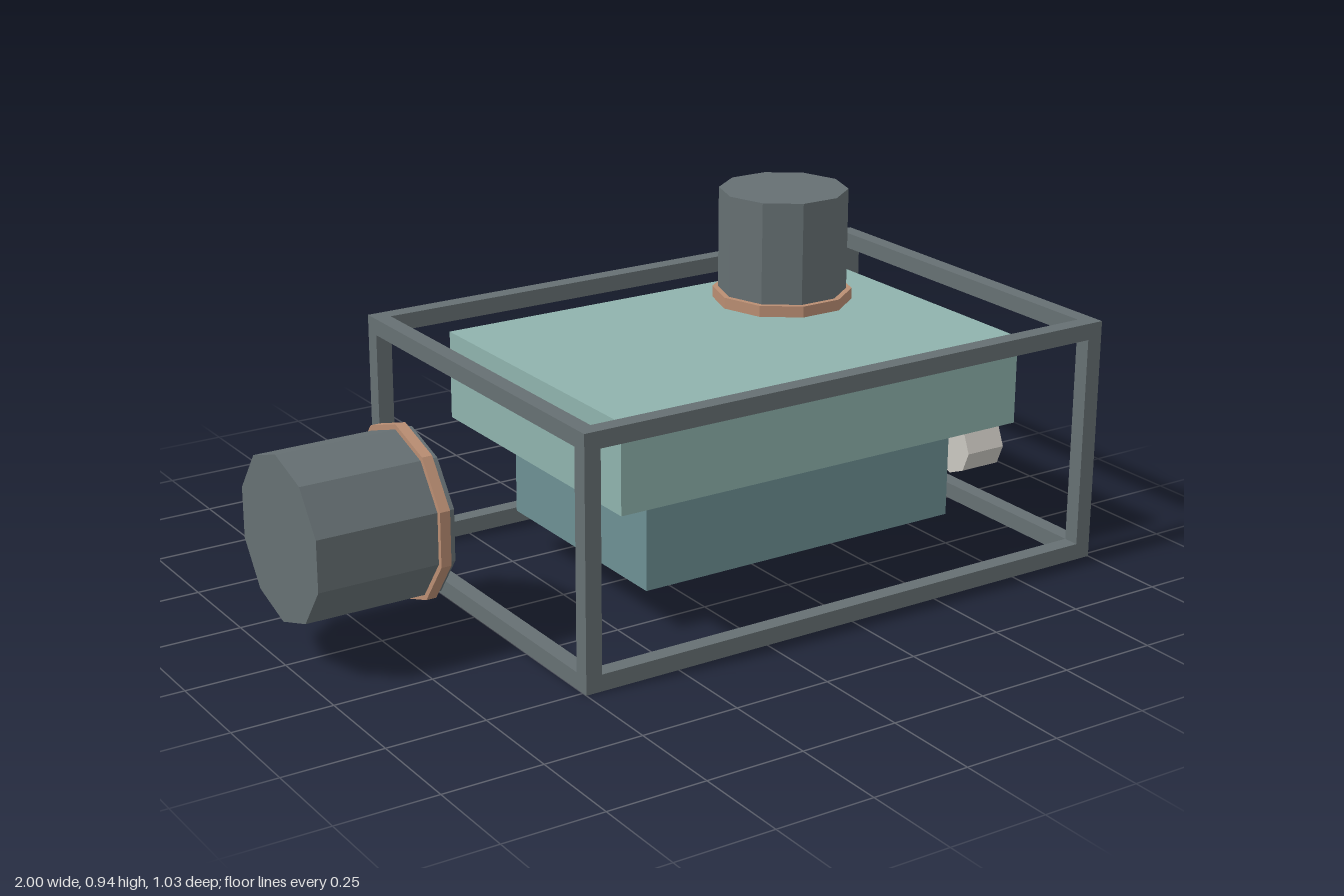
import * as THREE from 'three';

function material(name, color) {
  const m = new THREE.MeshStandardMaterial({ color, flatShading: true });
  m.name = name;
  return m;
}

export function createModel() {
  const model = new THREE.Group();
  model.name = 'framedMachine';

  const steel = material('slate grey', 0x667073);
  const paleTeal = material('pale teal', 0x8fb3ad);
  const deepTeal = material('deep teal', 0x6d9094);
  const copper = material('copper', 0xba8e73);
  const offWhite = material('off white', 0xcac7c0);

  function add(parent, name, geometry, mat, x = 0, y = 0, z = 0) {
    const mesh = new THREE.Mesh(geometry, mat);
    mesh.name = name;
    mesh.position.set(x, y, z);
    parent.add(mesh);
    return mesh;
  }

  // Box given by its minimum and maximum corners
  function box(parent, name, mat, [x0, y0, z0], [x1, y1, z1]) {
    return add(parent, name, new THREE.BoxGeometry(x1 - x0, y1 - y0, z1 - z0), mat,
      (x0 + x1) / 2, (y0 + y1) / 2, (z0 + z1) / 2);
  }

  // Faceted cylinder, upright or lying along x
  function drum(parent, name, mat, radius, length, sides, alongX, x, y, z) {
    const g = new THREE.CylinderGeometry(radius, radius, length, sides);
    g.rotateY(Math.PI / 2);
    if (alongX) g.rotateZ(Math.PI / 2);
    return add(parent, name, g, mat, x, y, z);
  }

  // Open frame: four bars along each axis
  const frame = new THREE.Group();
  frame.name = 'frame';
  model.add(frame);
  const t = 0.042, w = 1.5, h = 0.628, d = 1.03, cx = 0.25;
  for (const a of [-1, 1]) {
    for (const b of [-1, 1]) {
      const x = cx + a * (w - t) / 2;
      const y = (s) => h / 2 + s * (h - t) / 2;
      const z = b * (d - t) / 2;
      add(frame, 'longBar', new THREE.BoxGeometry(w, t, t), steel, cx, y(a), z);
      add(frame, 'post', new THREE.BoxGeometry(t, h - 2 * t, t), steel, x, h / 2, z);
      add(frame, 'crossBar', new THREE.BoxGeometry(t, t, d - 2 * t), steel, x, y(b), 0);
    }
  }

  // Stepped body
  box(model, 'upperBody', paleTeal, [-0.333, 0.36, -0.4], [0.83, 0.586, 0.4]);
  box(model, 'lowerBody', deepTeal, [-0.204, 0.11, -0.305], [0.7, 0.36, 0.305]);

  // Upright turret with collar
  drum(model, 'turret', steel, 0.16, 0.283, 10, false, 0.396, 0.7985, 0);
  drum(model, 'turretCollar', copper, 0.174, 0.028, 10, false, 0.396, 0.671, 0);

  // Sideways drum with collar
  drum(model, 'sideDrum', steel, 0.205, 0.347, 10, true, -0.8265, 0.315, 0);
  drum(model, 'sideDrumCollar', copper, 0.218, 0.026, 10, true, -0.683, 0.315, 0);

  // Pair of lamps
  for (const s of [-1, 1]) {
    drum(model, 'lamp', offWhite, 0.0715, 0.112, 8, true, 0.8, 0.271, s * 0.262);
  }

  return model;
}
